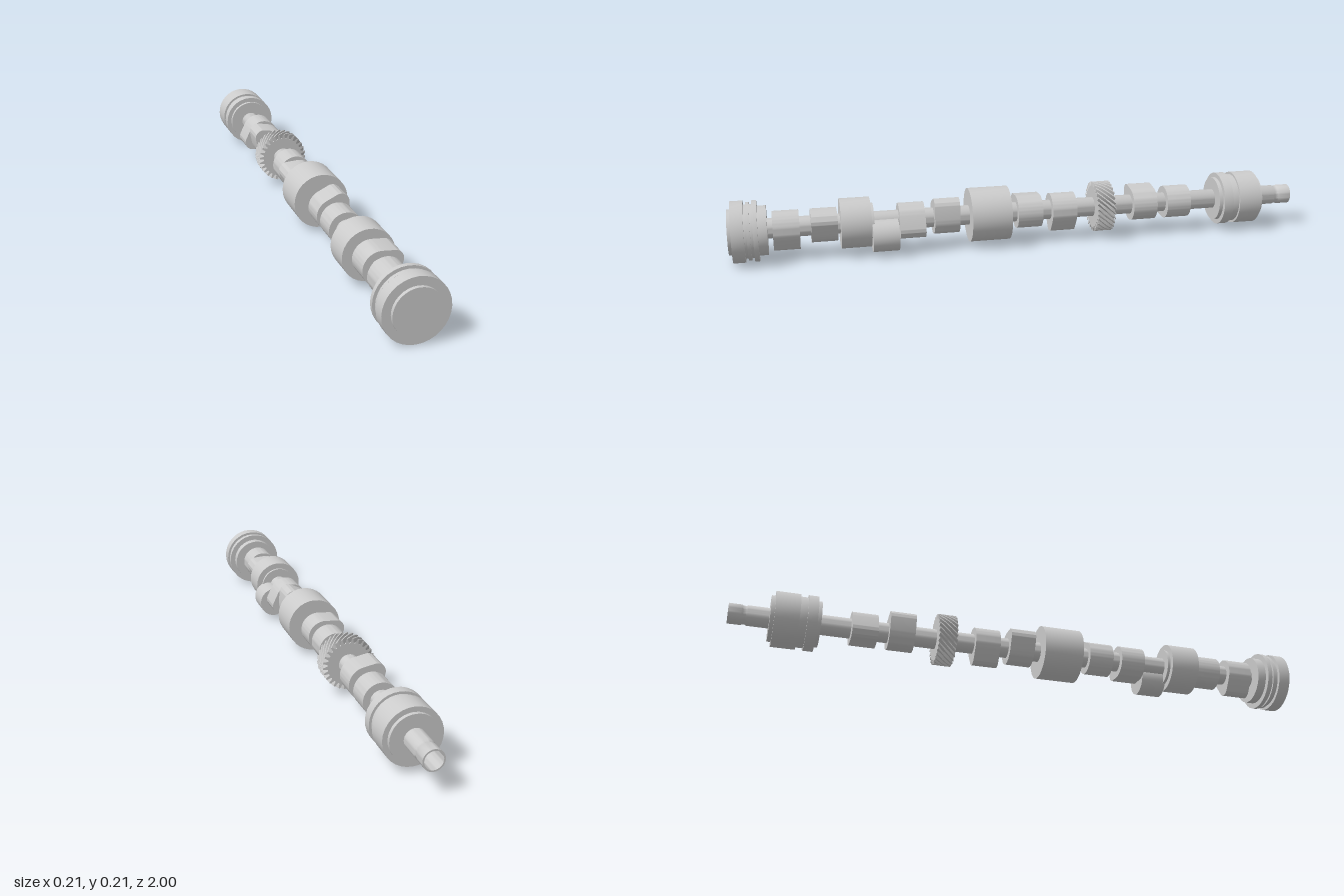
import * as THREE from 'three';
import { toCreasedNormals } from 'three/addons/utils/BufferGeometryUtils.js';

const SIDES = 32;
const material = new THREE.MeshStandardMaterial({ color: 0xcccccc });

export function createModel() {
  const model = new THREE.Group();
  model.name = 'camshaft';
  const axis = new THREE.Group();
  axis.name = 'rotatingParts';
  axis.position.set(-0.002, 0.108, 0);
  model.add(axis);

  function add(name, geometry, parent = axis) {
    const mesh = new THREE.Mesh(toCreasedNormals(geometry, 0.6), material);
    mesh.name = name;
    parent.add(mesh);
    return mesh;
  }

  // Solid turned about the z axis from [radius, z] pairs, back to front
  function turned(name, profile, parent) {
    const points = profile.map(([r, z]) => new THREE.Vector2(r, z));
    return add(name, new THREE.LatheGeometry(points, SIDES).rotateX(Math.PI / 2), parent);
  }

  // Stepped drum from [radius, zBack, zFront] bands, closed at both ends
  function drum(name, bands, parent) {
    const profile = [[0, bands[0][1]]];
    for (const [r, z0, z1] of bands) profile.push([r, z0], [r, z1]);
    profile.push([0, bands[bands.length - 1][2]]);
    return turned(name, profile, parent);
  }

  // Core shaft with a grooved, hollow tail
  turned('shaft', [
    [0, -0.88], [0.029, -0.88], [0.029, -1], [0.034, -1], [0.034, -0.957], [0.031, -0.952],
    [0.031, -0.943], [0.034, -0.938], [0.034, 0.9], [0, 0.9],
  ]);

  // Bearing journals
  drum('rearJournal', [
    [0.077, -0.868, -0.855], [0.093, -0.855, -0.775], [0.085, -0.775, -0.75],
    [0.093, -0.75, -0.717], [0.077, -0.717, -0.704],
  ]);
  drum('centreJournal', [[0.093, 0.058, 0.196]]);
  drum('frontJournal', [[0.064, 0.524, 0.534], [0.085, 0.534, 0.635]]);

  // Grooved front end with a raised disc on its face
  const front = new THREE.Group();
  front.name = 'frontEnd';
  front.position.set(0, 0.103, 0);
  model.add(front);
  drum('frontFlange', [
    [0.083, 0.873, 0.903], [0.102, 0.903, 0.918], [0.09, 0.918, 0.927], [0.097, 0.927, 0.938],
    [0.09, 0.938, 0.947], [0.103, 0.947, 0.988], [0.076, 0.988, 1],
  ], front);

  // Eccentric drive disc
  drum('eccentric', [[0.054, 0.444, 0.532]]).position.set(0.04, -0.04, 0);

  // Cam lobes: base circle and nose circle joined by tangent flanks
  const baseR = 0.057, noseR = 0.03, noseX = 0.048;
  const tangent = Math.acos((baseR - noseR) / noseX);
  const lobe = new THREE.Shape();
  lobe.absarc(0, 0, baseR, tangent, 2 * Math.PI - tangent, false);
  lobe.absarc(noseX, 0, noseR, -tangent, tangent, false);
  lobe.closePath();
  const lobes = [ // [z of back face, nose angle in degrees]
    [-0.602, 210], [-0.476, 135], [-0.18, 270], [-0.058, 150],
    [0.233, 60], [0.352, -30], [0.645, 30], [0.769, 270],
  ];
  lobes.forEach(([z, angle], i) => {
    const geometry = new THREE.ExtrudeGeometry(lobe, { depth: 0.087, bevelEnabled: false, curveSegments: 20 });
    const mesh = add('camLobe' + (i + 1), geometry);
    mesh.position.z = z;
    mesh.rotation.z = THREE.MathUtils.degToRad(angle);
  });

  // Helical gear: toothed outline extruded and twisted along its width
  const teeth = 28, width = 0.062, twist = 0.7;
  const outline = [];
  for (let i = 0; i < teeth; i++) {
    for (const [t, r] of [[0, 0.072], [0.3, 0.072], [0.52, 0.088], [0.78, 0.088]]) {
      const a = ((i + t) / teeth) * Math.PI * 2;
      outline.push(new THREE.Vector2(r * Math.cos(a), r * Math.sin(a)));
    }
  }
  const gear = new THREE.ExtrudeGeometry(new THREE.Shape(outline), { depth: width, steps: 8, bevelEnabled: false });
  const p = gear.attributes.position;
  const v = new THREE.Vector3(), zAxis = new THREE.Vector3(0, 0, 1);
  for (let i = 0; i < p.count; i++) {
    v.fromBufferAttribute(p, i);
    v.applyAxisAngle(zAxis, (v.z / width) * twist);
    p.setXYZ(i, v.x, v.y, v.z);
  }
  add('helicalGear', gear).position.z = -0.312;

  return model;
}
